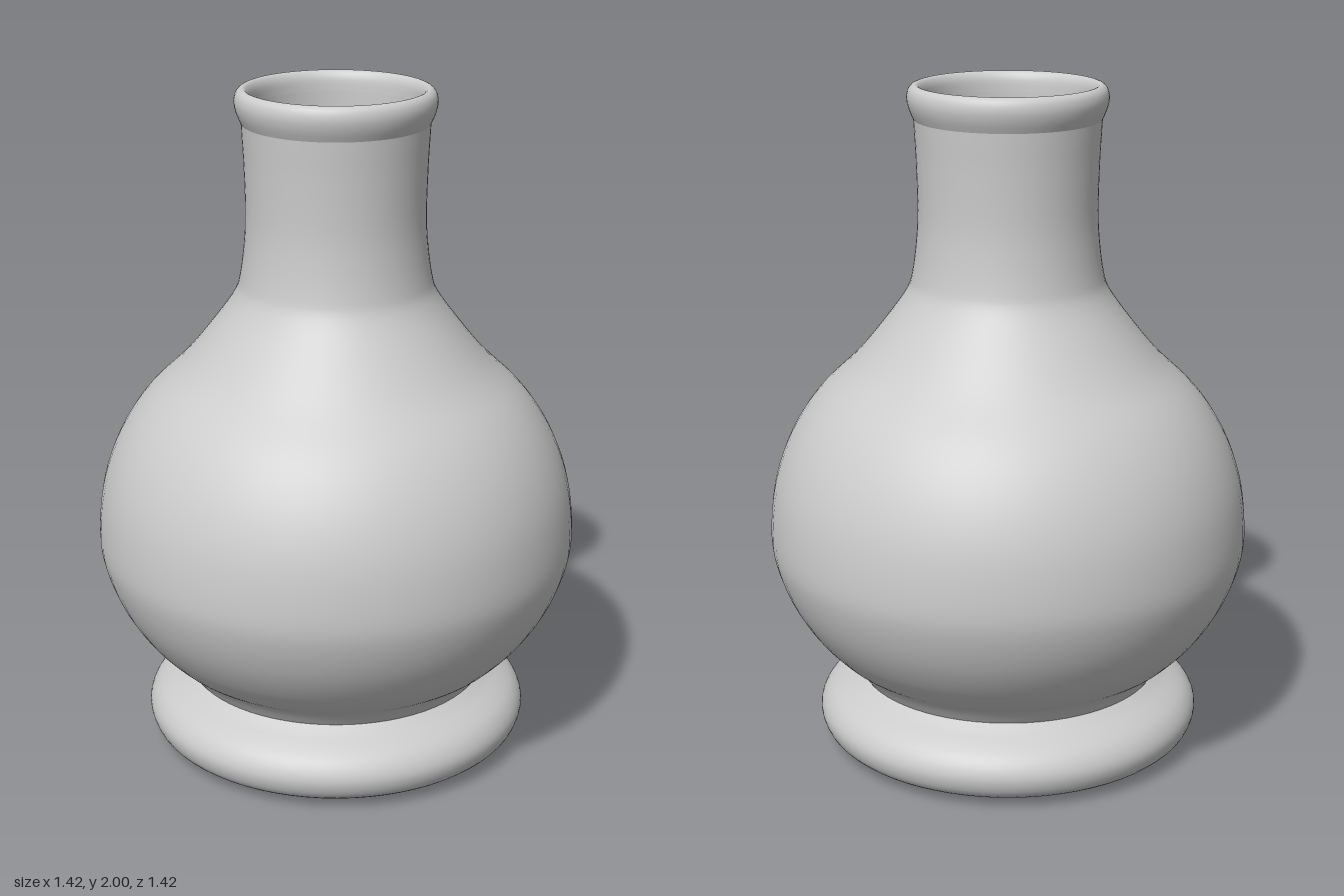
import * as THREE from 'three';

const SEGMENTS = 72;

// Smooth curve through [radius, height] pairs
function smooth(pairs, samples) {
  return new THREE.SplineCurve(pairs.map(([r, y]) => new THREE.Vector2(r, y))).getPoints(samples);
}

// Revolves a profile; heights must rise for the surface to face outwards
function revolve(name, points) {
  const material = new THREE.MeshStandardMaterial({ color: 0xcccccc, side: THREE.DoubleSide });
  const mesh = new THREE.Mesh(new THREE.LatheGeometry(points, SEGMENTS), material);
  mesh.name = name;
  return mesh;
}

export function createModel() {
  const vase = new THREE.Group();
  vase.name = 'vase';

  // Foot: slightly domed underside and a rounded ring up to the waist
  const underside = [new THREE.Vector2(0, 0), new THREE.Vector2(0.25, 0.005), new THREE.Vector2(0.45, 0.012)];
  const footRing = smooth([
    [0.49, 0.015], [0.53, 0.025], [0.562, 0.05], [0.577, 0.09], [0.572, 0.125],
    [0.55, 0.158], [0.515, 0.183], [0.48, 0.202], [0.45, 0.222],
  ], 24);
  vase.add(revolve('foot', [...underside, ...footRing]));

  // Body: round belly, shoulder and slightly waisted neck
  vase.add(revolve('body', smooth([
    [0.45, 0.222], [0.485, 0.27], [0.535, 0.31], [0.6, 0.38], [0.66, 0.475], [0.7, 0.58],
    [0.712, 0.67], [0.7, 0.8], [0.669, 0.91], [0.62, 1.01], [0.553, 1.1], [0.45, 1.2],
    [0.36, 1.31], [0.297, 1.4], [0.278, 1.46], [0.265, 1.56], [0.261, 1.65],
    [0.264, 1.78], [0.268, 1.86], [0.27, 1.9],
  ], 80)));

  // Lip: rolled rim joining the outer and inner walls
  vase.add(revolve('lip', smooth([
    [0.27, 1.9], [0.283, 1.93], [0.289, 1.96], [0.284, 1.985], [0.27, 1.998],
    [0.256, 1.995], [0.245, 1.975], [0.242, 1.94],
  ], 24)));

  // Interior: hollow following the outer wall down to a bowl-shaped floor
  vase.add(revolve('interior', smooth([
    [0.242, 1.94], [0.24, 1.8], [0.234, 1.62], [0.243, 1.48], [0.265, 1.39], [0.33, 1.28],
    [0.42, 1.17], [0.52, 1.075], [0.585, 0.99], [0.633, 0.89], [0.664, 0.78], [0.675, 0.67],
    [0.664, 0.59], [0.625, 0.495], [0.565, 0.41], [0.48, 0.335], [0.38, 0.28],
    [0.2, 0.235], [0, 0.225],
  ], 72)));

  return vase;
}
